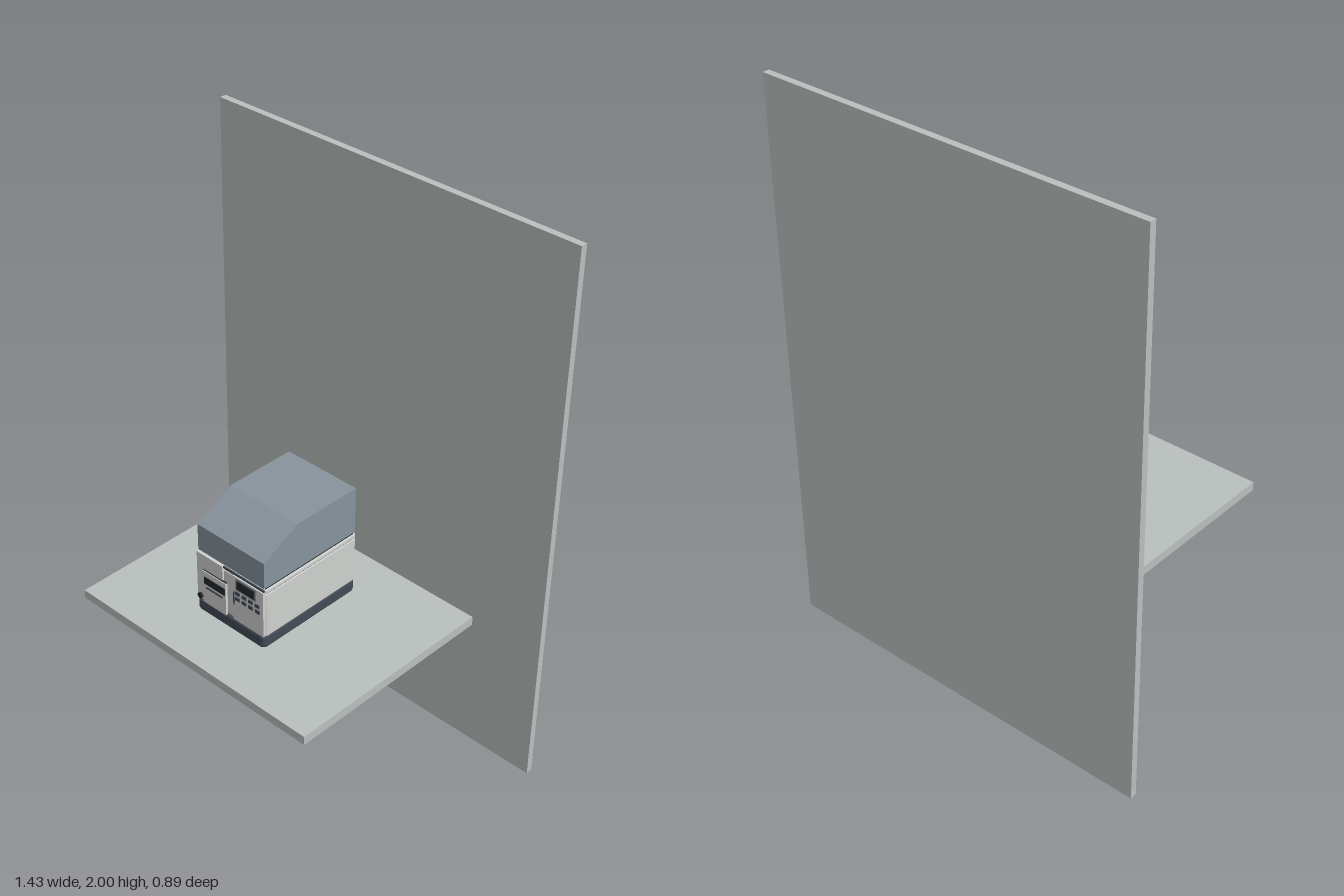
import * as THREE from 'three';

export function createModel() {
  const model = new THREE.Group();
  const mat = (name, color) => {
    const m = new THREE.MeshStandardMaterial({ color });
    m.name = name;
    return m;
  };
  const panel = mat('panel grey', 0xb9c0be);
  const shell = mat('shell light grey', 0xcfd1cf);
  const hoodMat = mat('hood blue grey', 0x87939c);
  const dark = mat('dark slate', 0x434b57);
  const black = mat('near black', 0x24272c);
  const key = mat('key grey', 0x6b747d);

  const add = (name, geometry, material, parent = model) => {
    const mesh = new THREE.Mesh(geometry, material);
    mesh.name = name;
    parent.add(mesh);
    return mesh;
  };
  // Box given by its limits on each axis
  const box = (name, material, x0, x1, y0, y1, z0, z1, parent) => {
    const mesh = add(name, new THREE.BoxGeometry(x1 - x0, y1 - y0, z1 - z0), material, parent);
    mesh.position.set((x0 + x1) / 2, (y0 + y1) / 2, (z0 + z1) / 2);
    return mesh;
  };
  // Upright block with rounded vertical corners and a small bevel
  const block = (name, material, x0, x1, y0, y1, z0, z1, r, b, parent) => {
    const w = (x1 - x0) / 2 - b, d = (z1 - z0) / 2 - b;
    const s = new THREE.Shape();
    s.absarc(w - r, d - r, r, 0, Math.PI / 2);
    s.absarc(r - w, d - r, r, Math.PI / 2, Math.PI);
    s.absarc(r - w, r - d, r, Math.PI, Math.PI * 1.5);
    s.absarc(w - r, r - d, r, Math.PI * 1.5, Math.PI * 2);
    const g = new THREE.ExtrudeGeometry(s, {
      depth: y1 - y0 - 2 * b, bevelSize: b, bevelThickness: b, bevelSegments: 2, curveSegments: 5,
    });
    g.rotateX(-Math.PI / 2);
    const mesh = add(name, g, material, parent);
    mesh.position.set((x0 + x1) / 2, y0 + b, (z0 + z1) / 2);
    return mesh;
  };

  // Wall and shelf
  box('wall', panel, -0.714, 0.714, 0, 2, -0.447, -0.423);
  box('shelf', panel, -0.5, 0.5, 0.577, 0.609, -0.34, 0.443);

  const machine = new THREE.Group();
  machine.name = 'machine';
  model.add(machine);

  // Feet and base tray
  for (const x of [-0.115, 0.11]) {
    for (const z of [0.21, -0.1]) {
      const foot = add('foot', new THREE.CylinderGeometry(0.016, 0.016, 0.025, 16), black, machine);
      foot.position.set(x, 0.6205, z);
    }
  }
  block('base', dark, -0.153, 0.15, 0.63, 0.677, -0.16, 0.262, 0.01, 0.008, machine);

  // Body, seam, upper rim and the dark gap under the hood
  block('body', shell, -0.153, 0.15, 0.675, 0.842, -0.16, 0.252, 0.008, 0.003, machine);
  block('seam', dark, -0.15, 0.147, 0.84, 0.847, -0.157, 0.249, 0.008, 0.001, machine);
  block('rim', shell, -0.153, 0.15, 0.845, 0.858, -0.16, 0.252, 0.008, 0.002, machine);
  box('hoodGap', black, -0.146, 0.143, 0.857, 0.867, -0.15, 0.245, machine);
  block('rearHinge', hoodMat, -0.145, 0.14, 0.845, 0.908, -0.165, -0.145, 0.005, 0.002, machine);

  // Hood with a sloping front
  const profile = new THREE.Shape([
    [0.253, 0.864], [0.253, 0.962], [0.105, 1.036], [-0.157, 1.036], [-0.157, 0.864],
  ].map(([z, y]) => new THREE.Vector2(z, y)));
  const hood = new THREE.ExtrudeGeometry(profile, { depth: 0.293, bevelEnabled: false });
  hood.rotateY(-Math.PI / 2);
  add('hood', hood, hoodMat, machine).position.x = 0.145;

  // Front left: cover and projecting output door
  box('leftCover', shell, -0.15, -0.034, 0.677, 0.858, 0.25, 0.259, machine);
  box('outputDoor', shell, -0.12, -0.016, 0.675, 0.8, 0.255, 0.264, machine);
  box('outputSlot', black, -0.112, -0.018, 0.753, 0.78, 0.262, 0.266, machine);
  box('slotLip', dark, -0.102, -0.03, 0.738, 0.743, 0.262, 0.267, machine);
  box('doorShadowLine', dark, -0.12, -0.016, 0.8, 0.804, 0.255, 0.261, machine);
  const knob = add('powerButton', new THREE.CylinderGeometry(0.01, 0.01, 0.012, 16), black, machine);
  knob.rotation.x = Math.PI / 2;
  knob.position.set(-0.135, 0.69, 0.26);

  // Front right: control panel with display and keys
  box('panelGap', dark, -0.034, 0.146, 0.851, 0.858, 0.25, 0.255, machine);
  box('panelEdge', dark, 0.009, 0.013, 0.677, 0.851, 0.25, 0.255, machine);
  box('controlPanel', shell, 0.013, 0.147, 0.677, 0.851, 0.25, 0.26, machine);
  box('displayFrame', key, 0.027, 0.115, 0.802, 0.845, 0.258, 0.261, machine);
  box('display', black, 0.033, 0.108, 0.808, 0.839, 0.26, 0.263, machine);
  for (const y of [0.79, 0.768]) {
    for (let i = 0; i < 4; i++) {
      const x = 0.036 + i * 0.029;
      box('key', dark, x - 0.009, x + 0.009, y - 0.006, y + 0.006, 0.259, 0.264, machine);
    }
  }
  box('sideHandle', dark, 0.017, 0.021, 0.74, 0.79, 0.259, 0.263, machine);

  return model;
}
